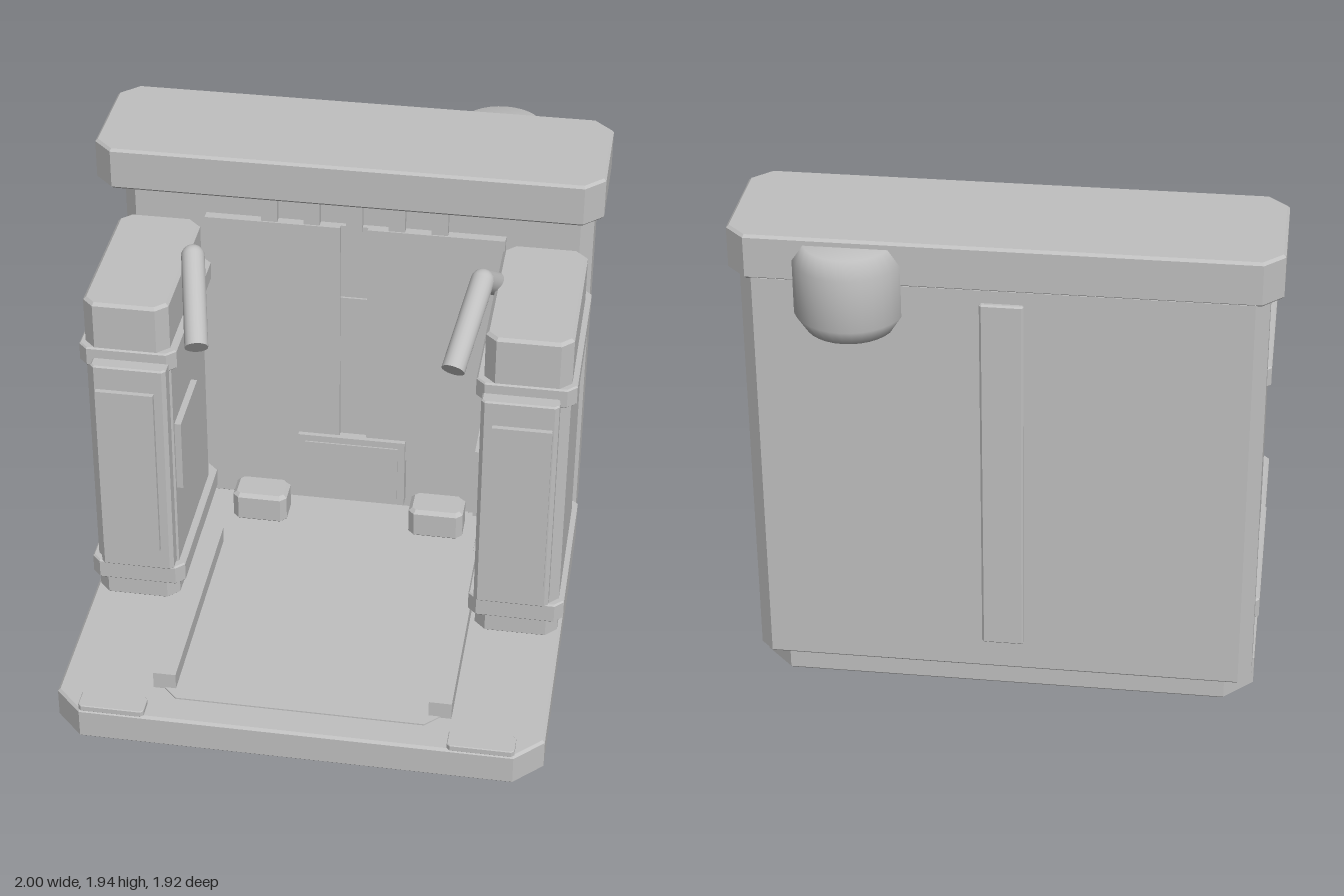
import * as THREE from 'three';

const grey = new THREE.MeshStandardMaterial({ color: 0xc0c0c0 });
grey.name = 'plain grey';

// Upright block given by its extents, with cut vertical corners and small bevels on the rims
function block(name, [x0, x1], [y0, y1], [z0, z1], cut = 0.01, bevel = 0.006) {
  const w = (x1 - x0) / 2, d = (z1 - z0) / 2;
  const shape = new THREE.Shape([
    [-w + cut, -d], [w - cut, -d], [w, -d + cut], [w, d - cut],
    [w - cut, d], [-w + cut, d], [-w, d - cut], [-w, -d + cut],
  ].map(([x, y]) => new THREE.Vector2(x, y)));
  const geo = new THREE.ExtrudeGeometry(shape, {
    depth: y1 - y0 - 2 * bevel, bevelEnabled: bevel > 0, bevelSegments: 1,
    bevelSize: bevel, bevelThickness: bevel, bevelOffset: -bevel,
  });
  geo.rotateX(-Math.PI / 2);
  geo.translate((x0 + x1) / 2, y0 + bevel, (z0 + z1) / 2);
  const mesh = new THREE.Mesh(geo, grey);
  mesh.name = name;
  return mesh;
}

// Plain box given by its extents
function box(name, [x0, x1], [y0, y1], [z0, z1]) {
  const mesh = new THREE.Mesh(new THREE.BoxGeometry(x1 - x0, y1 - y0, z1 - z0), grey);
  mesh.position.set((x0 + x1) / 2, (y0 + y1) / 2, (z0 + z1) / 2);
  mesh.name = name;
  return mesh;
}

// Round rods through a list of points, with ball joints between them
function rods(name, points, radius) {
  const group = new THREE.Group();
  group.name = name;
  const pts = points.map((p) => new THREE.Vector3(...p));
  for (let i = 0; i < pts.length - 1; i++) {
    const dir = pts[i + 1].clone().sub(pts[i]);
    const rod = new THREE.Mesh(new THREE.CylinderGeometry(radius, radius, dir.length(), 20), grey);
    rod.position.copy(pts[i]).add(pts[i + 1]).multiplyScalar(0.5);
    rod.quaternion.setFromUnitVectors(new THREE.Vector3(0, 1, 0), dir.normalize());
    rod.name = name + 'Rod';
    group.add(rod);
    if (i > 0) {
      const ball = new THREE.Mesh(new THREE.SphereGeometry(radius, 20, 12), grey);
      ball.position.copy(pts[i]);
      ball.name = name + 'Joint';
      group.add(ball);
    }
  }
  return group;
}

// Extents mirrored to the chosen side
const side = (s, a, b) => (s > 0 ? [a, b] : [-b, -a]);

function createPillar(s) {
  const g = new THREE.Group();
  g.name = s > 0 ? 'leftPillar' : 'rightPillar';
  g.add(
    block('pillarBody', side(s, 0.61, 0.945), [0.13, 1.54], [-0.475, 0.22], 0.045, 0.012),
    block('lowerBand', side(s, 0.582, 0.967), [0.215, 0.302], [-0.513, 0.226], 0.035),
    block('upperBand', side(s, 0.582, 0.967), [1.257, 1.34], [-0.513, 0.226], 0.035),
    block('frontPanel', side(s, 0.61, 0.908), [0.333, 1.295], [0.2, 0.283], 0.015),
    box('frontInset', side(s, 0.658, 0.888), [0.438, 1.19], [0.27, 0.303]),
    box('innerPlate', side(s, 0.584, 0.63), [0.66, 0.97], [-0.16, 0.16]),
    rods('arm', [[s * 0.62, 1.455, -0.3], [s * 0.565, 1.605, -0.08], [s * 0.495, 1.385, 0.225]], 0.046),
    rods('cable', [[s * 0.78, 0.95, -0.46], [s * 0.78, 0.38, -0.53], [s * 0.78, 0.35, -0.57]], 0.03),
  );
  return g;
}

export function createModel() {
  const model = new THREE.Group();
  model.name = 'serviceBay';

  // Base and floor
  model.add(
    block('base', [-0.96, 0.96], [0, 0.137], [-0.74, 0.96], 0.11, 0.01),
    block('floorPlate', [-0.55, 0.55], [0.13, 0.143], [-0.56, 0.835], 0.06, 0),
  );

  // Back wall and roof
  model.add(
    block('backWall', [-0.953, 0.953], [0.13, 1.78], [-0.815, -0.555], 0.05, 0.01),
    block('roof', [-1, 1], [1.765, 1.94], [-0.818, -0.27], 0.075, 0.01),
    block('backStrip', [-0.082, 0.078], [0.255, 1.72], [-0.832, -0.8], 0.008),
    box('centreStrip', [-0.056, 0.056], [0.41, 1.525], [-0.56, -0.535]),
    box('centrePlate', [-0.056, 0.056], [0.88, 1.19], [-0.56, -0.526]),
    box('consoleFrame', [-0.23, 0.225], [0.19, 0.51], [-0.56, -0.495]),
    box('consoleScreen', [-0.2, 0.195], [0.22, 0.48], [-0.5, -0.489]),
  );

  // Row of teeth above the wall panels
  for (let i = -2; i <= 2; i++) {
    const x = i * 0.173;
    model.add(box('tooth', [x - 0.033, x + 0.033], [i === 0 ? 1.51 : 1.525, 1.635], [-0.57, -0.522]));
  }

  // Mirrored parts
  for (const s of [-1, 1]) {
    model.add(
      createPillar(s),
      box('wallPanel', side(s, 0.056, 0.61), [0.41, 1.525], [-0.56, -0.515]),
      box('floorRail', side(s, 0.5, 0.59), [0.13, 0.21], [-0.185, 0.78]),
      block('wheelStop', side(s, 0.262, 0.492), [0.135, 0.27], [-0.5, -0.35], 0.025, 0.015),
      block('cornerPad', side(s, 0.592, 0.852), [0.135, 0.162], [0.868, 0.962], 0.012, 0.003),
    );
  }

  // Rounded tank on the back of the wall
  const profile = [[0, 1.58], [0.165, 1.58], [0.205, 1.645], [0.205, 1.85], [0.165, 1.912], [0, 1.912]]
    .map(([r, y]) => new THREE.Vector2(r, y));
  const tank = new THREE.Mesh(new THREE.LatheGeometry(profile, 32), grey);
  tank.position.set(0.555, 0, -0.757);
  tank.name = 'backTank';
  model.add(tank);

  return model;
}
